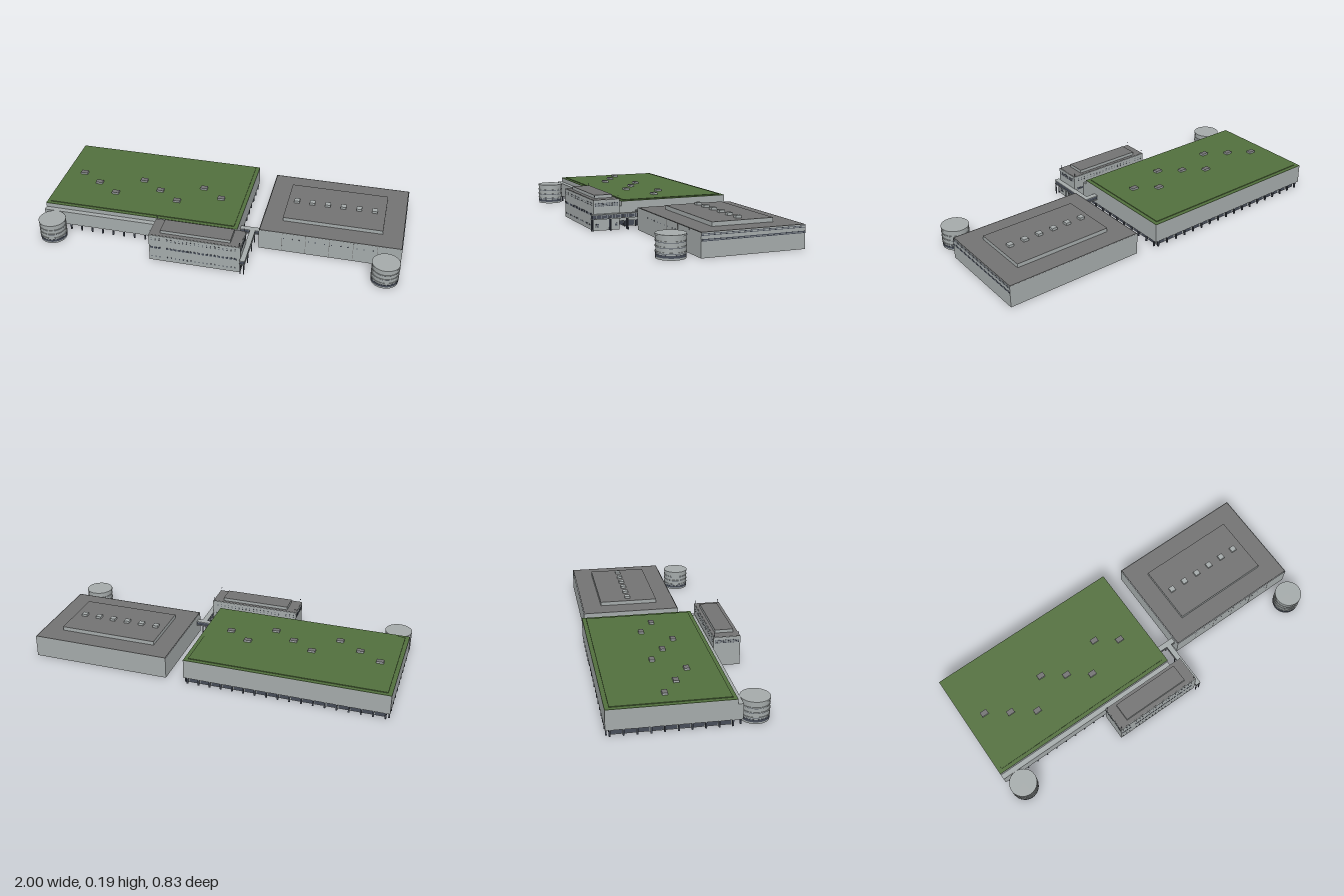
import * as THREE from 'three';
import { mergeGeometries } from 'three/addons/utils/BufferGeometryUtils.js';

const paint = (name, color) => {
  const m = new THREE.MeshStandardMaterial({ color, side: THREE.DoubleSide });
  m.name = name;
  return m;
};

// Box given by its limits on each axis
function box(x0, x1, y0, y1, z0, z1) {
  return new THREE.BoxGeometry(x1 - x0, y1 - y0, z1 - z0)
    .translate((x0 + x1) / 2, (y0 + y1) / 2, (z0 + z1) / 2);
}

// Four walls only, without top and bottom
function walls(...limits) {
  const g = box(...limits);
  const idx = Array.from(g.index.array);
  g.setIndex([...idx.slice(0, 12), ...idx.slice(24)]);
  g.clearGroups();
  return g;
}

export function createModel() {
  const group = new THREE.Group();
  const wall = paint('pale wall', 0xa4aaaa);
  const roof = paint('grey roof', 0x727272);
  const grass = paint('green roof', 0x526f3d);
  const glass = paint('dark glass', 0x464c58);

  function add(name, geometry, material) {
    const g = Array.isArray(geometry) ? mergeGeometries(geometry) : geometry;
    const mesh = new THREE.Mesh(g, material);
    mesh.name = name;
    group.add(mesh);
    return mesh;
  }

  // Large hall: overhanging upper walls on a recessed ground floor
  const L = { x0: -1, x1: 0.11, z0: -0.414, z1: 0.217 };
  const C = { x0: -0.978, x1: 0.088, z0: -0.392, z1: 0.197 };
  add('hallUpperWalls', walls(L.x0, L.x1, 0.035, 0.142, L.z0, L.z1), wall);
  add('hallGroundWalls', walls(C.x0, C.x1, 0, 0.142, C.z0, C.z1), wall);
  add('hallSoffit', [
    box(L.x0, L.x1, 0.035, 0.037, L.z0, C.z0), box(L.x0, L.x1, 0.035, 0.037, C.z1, L.z1),
    box(L.x0, C.x0, 0.035, 0.037, C.z0, C.z1), box(C.x1, L.x1, 0.035, 0.037, C.z0, C.z1),
  ], wall);
  add('hallFrontBay', box(L.x0, L.x1, 0.035, 0.118, L.z1, 0.245), wall);
  add('hallGreenRoof', [
    box(L.x0, L.x1, 0.142, 0.144, L.z0, L.z1),
    box(C.x0, C.x1, 0.144, 0.148, C.z0, C.z1),
  ], grass);

  // Ground floor windows and columns on all four sides
  const panes = [], columns = [];
  const nx = 17, nz = 9;
  const px = (C.x1 - C.x0) / nx, pz = (C.z1 - C.z0) / nz;
  for (let i = 0; i <= nx; i++) {
    const x = C.x0 + i * px;
    for (const z of [-0.408, 0.238]) columns.push(box(x - 0.004, x + 0.004, 0, 0.036, z - 0.004, z + 0.004));
    if (i === nx) break;
    for (const z of [C.z0 - 0.001, C.z1 + 0.001])
      panes.push(box(x + 0.006, x + px - 0.006, 0.004, 0.033, z - 0.001, z + 0.001));
  }
  for (let i = 0; i <= nz; i++) {
    const z = C.z0 + i * pz;
    for (const x of [-0.994, 0.104]) columns.push(box(x - 0.004, x + 0.004, 0, 0.036, z - 0.004, z + 0.004));
    if (i === nz) break;
    for (const x of [C.x0 - 0.001, C.x1 + 0.001])
      panes.push(box(x - 0.001, x + 0.001, 0.004, 0.033, z + 0.006, z + pz - 0.006));
  }
  add('hallGroundWindows', panes, glass);
  add('hallColumns', columns, glass);

  // Roof lights on the green roof
  const lights = [
    [-0.89, -0.115], [-0.52, -0.115], [-0.16, -0.115], [-0.77, -0.038],
    [-0.4, -0.038], [-0.04, -0.038], [-0.645, 0.04], [-0.28, 0.04],
  ];
  add('hallRoofLights', lights.map(([x, z]) => walls(x - 0.02, x + 0.02, 0.148, 0.159, z - 0.014, z + 0.014)), wall);
  add('hallRoofLightTops', lights.map(([x, z]) => box(x - 0.02, x + 0.02, 0.158, 0.159, z - 0.014, z + 0.014)), roof);

  // Second hall with a raised roof section
  add('sideHallWalls', walls(0.22, 1, 0, 0.122, -0.392, 0.166), wall);
  add('sideHallRoof', box(0.223, 0.997, 0.12, 0.1225, -0.389, 0.163), roof);
  add('raisedRoofWalls', walls(0.333, 0.885, 0.122, 0.144, -0.28, 0.053), wall);
  add('raisedRoofTop', box(0.333, 0.885, 0.143, 0.1445, -0.28, 0.053), roof);
  const sideLights = [], sideWindows = [], joints = [];
  for (let i = 0; i < 6; i++) {
    const x = 0.385 + i * 0.088;
    sideLights.push(box(x - 0.015, x + 0.015, 0.144, 0.158, -0.13, -0.1));
    sideWindows.push(box(x - 0.03, x - 0.023, 0.084, 0.09, 0.1655, 0.167));
    sideWindows.push(box(x + 0.02, x + 0.027, 0.084, 0.09, 0.1655, 0.167));
    if (i < 5) joints.push(box(0.349 + i * 0.13, 0.351 + i * 0.13, 0, 0.12, 0.1655, 0.1665));
  }
  add('sideHallRoofLights', sideLights, wall);
  add('sideHallWindows', sideWindows, glass);
  add('sideHallJoints', joints, roof);
  add('sideHallWindowBands', [[0.079, 0.083], [0.085, 0.09], [0.106, 0.109], [0.113, 0.116]]
    .map(([a, b]) => box(0.9995, 1.0005, a, b, -0.392, 0.166)), glass);

  // Office block with a rooftop storey
  add('officeWalls', box(-0.338, 0.168, 0, 0.166, 0.252, 0.4), wall);
  add('officeRoof', box(-0.335, 0.165, 0.166, 0.1675, 0.255, 0.397), roof);
  add('officePenthouse', box(-0.28, 0.108, 0.167, 0.184, 0.272, 0.373), wall);
  add('officePenthouseRoof', box(-0.28, 0.108, 0.184, 0.185, 0.272, 0.373), roof);
  const office = [];
  for (const [y, h, w] of [[0.148, 0.004, 0.006], [0.137, 0.004, 0.006], [0.086, 0.012, 0.015], [0.026, 0.008, 0.006]]) {
    for (let i = 0; i < 22; i++) {
      if (i === 3) continue;
      const x = -0.323 + i * 0.022;
      for (const z of [0.252, 0.4]) office.push(box(x - w / 2, x + w / 2, y - h / 2, y + h / 2, z - 0.001, z + 0.001));
    }
  }
  for (const y of [0.148, 0.141, 0.134]) for (let i = 0; i < 15; i++) {
    const z = 0.263 + i * 0.009;
    for (const x of [-0.338, 0.168]) office.push(box(x - 0.001, x + 0.001, y - 0.002, y + 0.002, z - 0.003, z + 0.003));
  }
  for (const y of [0.021, 0.028, 0.035]) for (const z of [0.268, 0.276, 0.374, 0.382, 0.39])
    office.push(box(0.167, 0.169, y - 0.002, y + 0.002, z - 0.003, z + 0.003));
  add('officeWindows', office, glass);
  const posts = [];
  for (const x of [-0.33, 0.16]) for (const z of [0.257, 0.39]) {
    posts.push(box(x - 0.0005, x + 0.0005, 0.167, 0.187, z - 0.0005, z + 0.0005));
    posts.push(box(x - 0.002, x + 0.002, 0.185, 0.188, z - 0.002, z + 0.002));
  }
  add('officeRoofPosts', posts, glass);

  // Round towers with ledges and a dark base band
  for (const [name, x, z] of [['rightTower', -0.925, 0.32], ['leftTower', 0.925, 0.285]]) {
    const tower = new THREE.Group();
    tower.name = name;
    tower.position.set(x, 0, z);
    const disc = (part, r, y0, y1, mat) => {
      const m = new THREE.Mesh(new THREE.CylinderGeometry(r, r, y1 - y0, 40), mat);
      m.position.y = (y0 + y1) / 2;
      m.name = part;
      tower.add(m);
    };
    disc('towerBody', 0.072, 0, 0.114, wall);
    disc('towerBaseBand', 0.0735, 0.01, 0.023, glass);
    for (const y of [0.034, 0.06, 0.086]) {
      disc('towerLedge', 0.075, y - 0.003, y + 0.002, wall);
      disc('towerShadowGap', 0.0728, y - 0.006, y - 0.003, glass);
    }
    disc('towerCap', 0.075, 0.109, 0.118, wall);
    group.add(tower);
  }

  // Raised glazed walkway on slim legs
  add('walkwayGlazing', [box(0.168, 0.192, 0.069, 0.087, 0.115, 0.414), box(0.11, 0.22, 0.069, 0.087, 0.112, 0.134)], glass);
  const slabs = [];
  for (const [a, b] of [[0.065, 0.069], [0.087, 0.091]])
    slabs.push(box(0.165, 0.195, a, b, 0.108, 0.416), box(0.11, 0.22, a, b, 0.108, 0.138));
  add('walkwaySlabs', slabs, wall);
  const legs = [], mullions = [];
  for (const z of [0.412, 0.31, 0.21, 0.125]) for (const x of [0.17, 0.19])
    legs.push(box(x - 0.0025, x + 0.0025, 0, 0.066, z - 0.0025, z + 0.0025));
  for (let i = 0; i < 18; i++) {
    const z = 0.145 + i * 0.0155;
    mullions.push(box(0.1675, 0.1925, 0.069, 0.087, z - 0.001, z + 0.001));
  }
  add('walkwayLegs', legs, glass);
  add('walkwayMullions', mullions, wall);

  return group;
}
